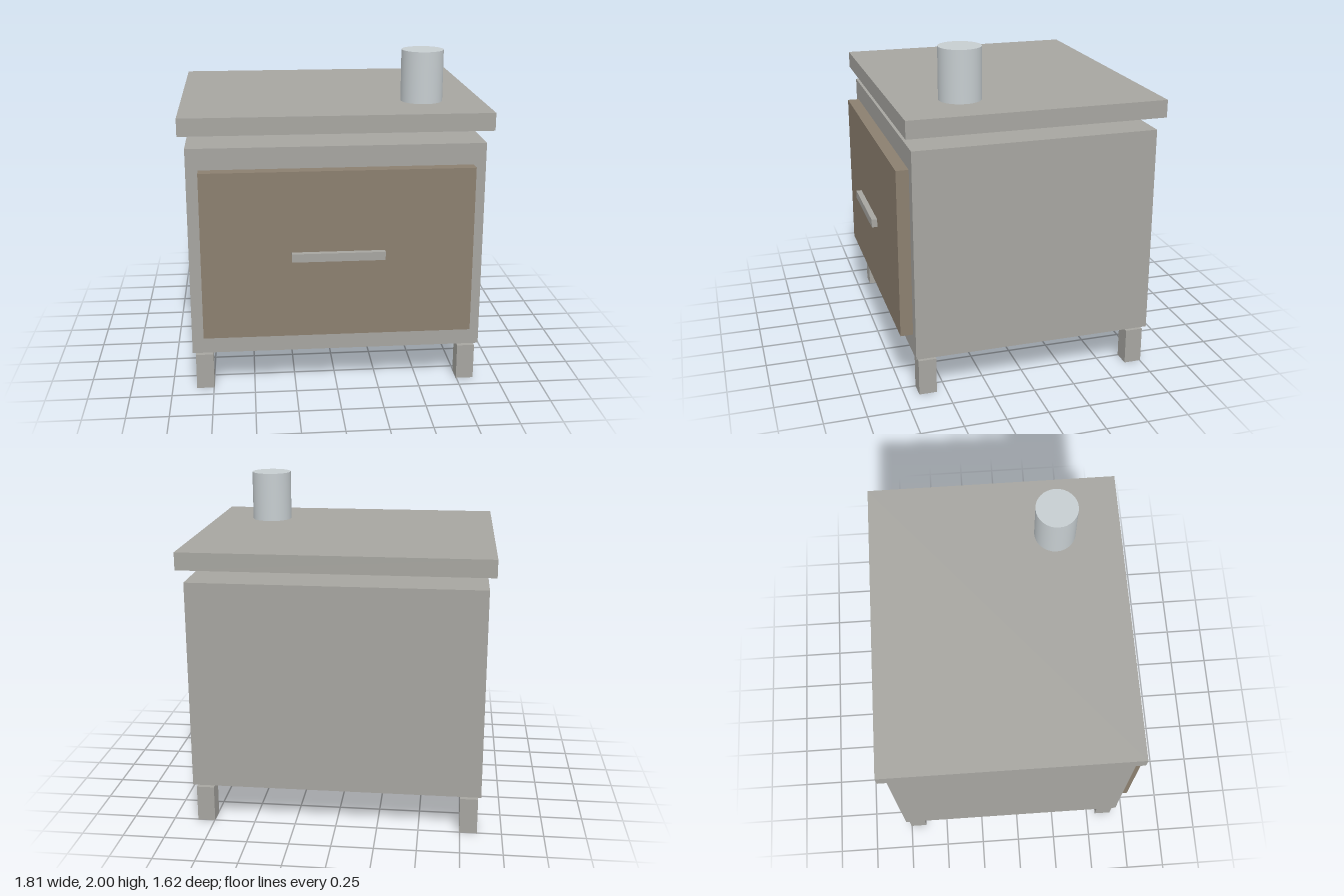
import * as THREE from 'three';

const bodyMat = new THREE.MeshStandardMaterial({ color: 0xa6a5a0 });
const doorMat = new THREE.MeshStandardMaterial({ color: 0x8b7f6f });
const pipeMat = new THREE.MeshStandardMaterial({ color: 0xc6cdd0 });

// Box given by its extents along each axis
function box(name, [x0, x1], [y0, y1], [z0, z1], material) {
  const mesh = new THREE.Mesh(new THREE.BoxGeometry(x1 - x0, y1 - y0, z1 - z0), material);
  mesh.position.set((x0 + x1) / 2, (y0 + y1) / 2, (z0 + z1) / 2);
  mesh.name = name;
  return mesh;
}

export function createModel() {
  const group = new THREE.Group();
  group.name = 'stove';

  // Cabinet with a raised lid slab
  group.add(box('body', [-0.87, 0.87], [0.243, 1.508], [-0.77, 0.682], bodyMat));
  group.add(box('topSlab', [-0.907, 0.907], [1.588, 1.692], [-0.808, 0.718], bodyMat));

  // Door panel and its bar handle, standing just clear of the door
  group.add(box('door', [-0.798, 0.798], [0.37, 1.381], [0.682, 0.756], doorMat));
  group.add(box('handle', [-0.272, 0.272], [0.852, 0.902], [0.774, 0.808], bodyMat));

  // Four square legs
  const half = 0.053;
  for (const [side, x] of [['Left', 0.8], ['Right', -0.8]]) {
    for (const [end, z] of [['front', 0.612], ['back', -0.7]]) {
      group.add(box(`${end}${side}Leg`, [x - half, x + half], [0, 0.221], [z - half, z + half], bodyMat));
    }
  }

  // Flue pipe on the lid
  const pipe = new THREE.Mesh(new THREE.CylinderGeometry(0.126, 0.126, 0.308, 32), pipeMat);
  pipe.position.set(0.543, 1.846, 0.318);
  pipe.name = 'fluePipe';
  group.add(pipe);

  return group;
}
